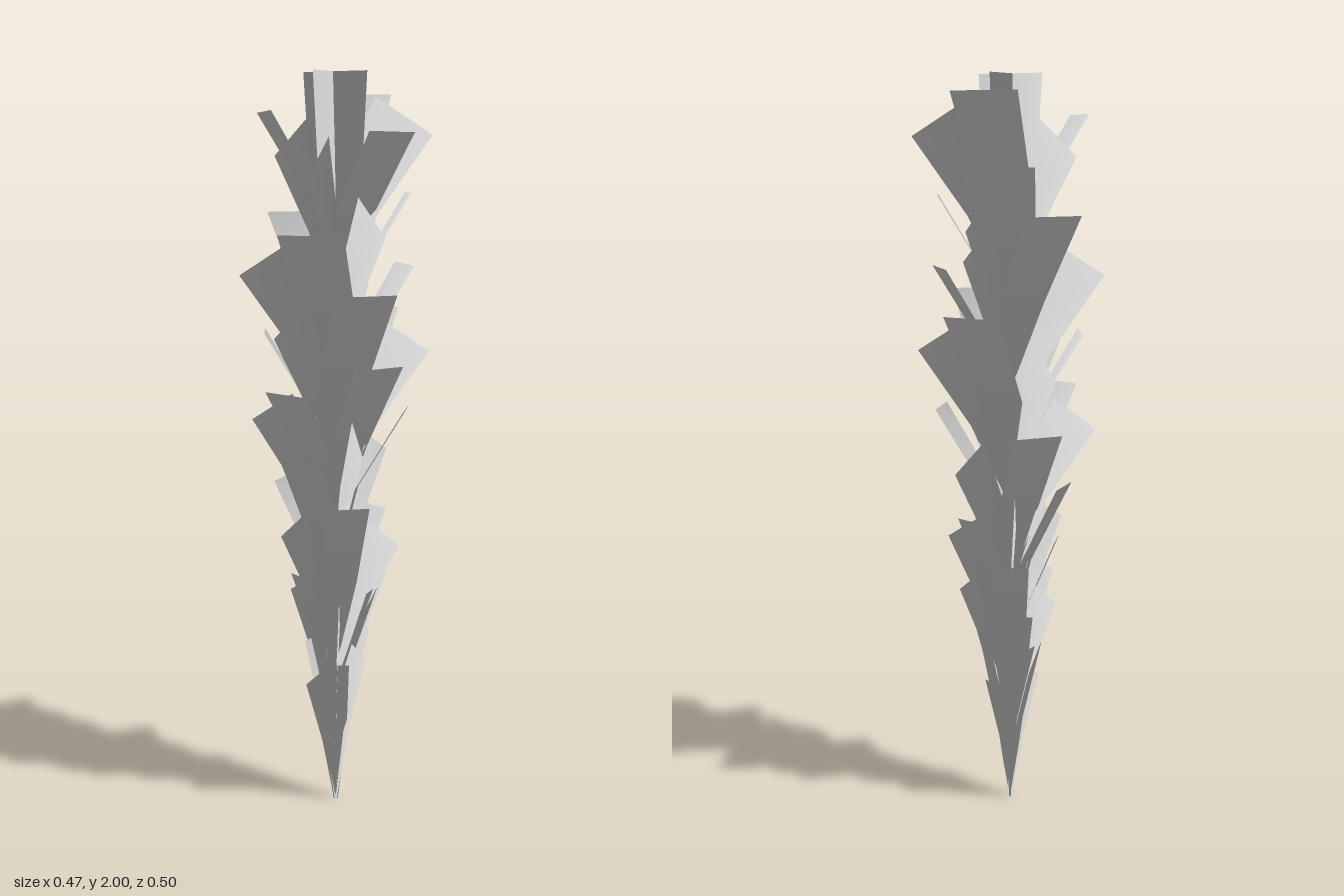
import * as THREE from 'three';
import { mergeGeometries } from 'three/addons/utils/BufferGeometryUtils.js';

const material = new THREE.MeshStandardMaterial({ color: 0xcccccc });
const rad = THREE.MathUtils.degToRad;

// One face of a bent leaf rising from the axis and arching towards local +x:
// narrow root, broad middle, square tip. side is 1 or -1 for the two faces.
// onEdge turns the blade so its width lies in the radial plane.
function leafFace(top, reach, width, onEdge, side) {
  const base = Math.max(0, top - 0.46);
  const tilt = rad(33);
  const gap = 0.0008 * side;
  const widths = [0.012, width * 0.85, width];
  const radii = [0, reach * 0.27, reach];
  const geometry = new THREE.PlaneGeometry(1, 1, 1, 2);
  const p = geometry.attributes.position;
  const n = geometry.attributes.normal;
  const outward = new THREE.Vector3();
  for (let i = 0; i < p.count; i++) {
    const row = Math.round((p.getY(i) + 0.5) * 2);
    const across = p.getX(i) * widths[row];
    const y = THREE.MathUtils.lerp(base, top, row / 2);
    if (onEdge) {
      const drop = across * Math.sin(tilt) * row / 2;
      p.setXYZ(i, radii[row] + across * Math.cos(tilt), Math.max(0, y - drop), across * 0.07 + gap);
    } else {
      p.setXYZ(i, radii[row] - gap, y, across);
    }
    // Foliage normals: upwards, opening outwards, the same on both faces
    outward.set(p.getX(i) * 2.5, 1, p.getZ(i) * 2.5).normalize();
    n.setXYZ(i, outward.x, outward.y, outward.z);
  }
  if (side < 0) geometry.index.array.reverse();
  return geometry;
}

export function createModel() {
  const group = new THREE.Group();
  group.name = 'leafySpike';

  function addLeaf(name, angle, top, reach, width, onEdge) {
    const faces = [1, -1].map((side) => leafFace(top, reach, width, onEdge, side));
    const leaf = new THREE.Mesh(mergeGeometries(faces), material);
    leaf.name = name;
    leaf.rotation.y = -rad(angle);
    group.add(leaf);
  }

  // Leaves shrink towards the pointed foot
  function addSpiralLeaf(name, angle, height, onEdge) {
    const top = height + Math.max(0, 0.9 - height) * 0.2;
    const reach = Math.min(onEdge ? 0.18 : 0.19, 0.17 * top);
    addLeaf(name, angle, top, reach, Math.min(0.18, 0.03 + 0.1 * top), onEdge);
  }

  // Seven whorls, each with four broad leaves and three edge-on blades between them
  for (let whorl = 0; whorl < 7; whorl++) {
    for (let i = 0; i < 4; i++) {
      const turn = 68 * whorl - 124 * i;
      const drop = 0.2575 * whorl + 0.0525 * i;
      addSpiralLeaf('broadLeaf', 258 + turn, 1.95 - drop - (i === 3 ? 0.03 : 0), false);
      if (i < 3) addSpiralLeaf('edgeLeaf', 320 + turn, 1.89 - drop, true);
    }
  }

  // Two crossed upright leaves at the crown
  for (const angle of [82, 186]) addLeaf('crownLeaf', angle, 2, 0.005, 0.18, false);
  return group;
}
